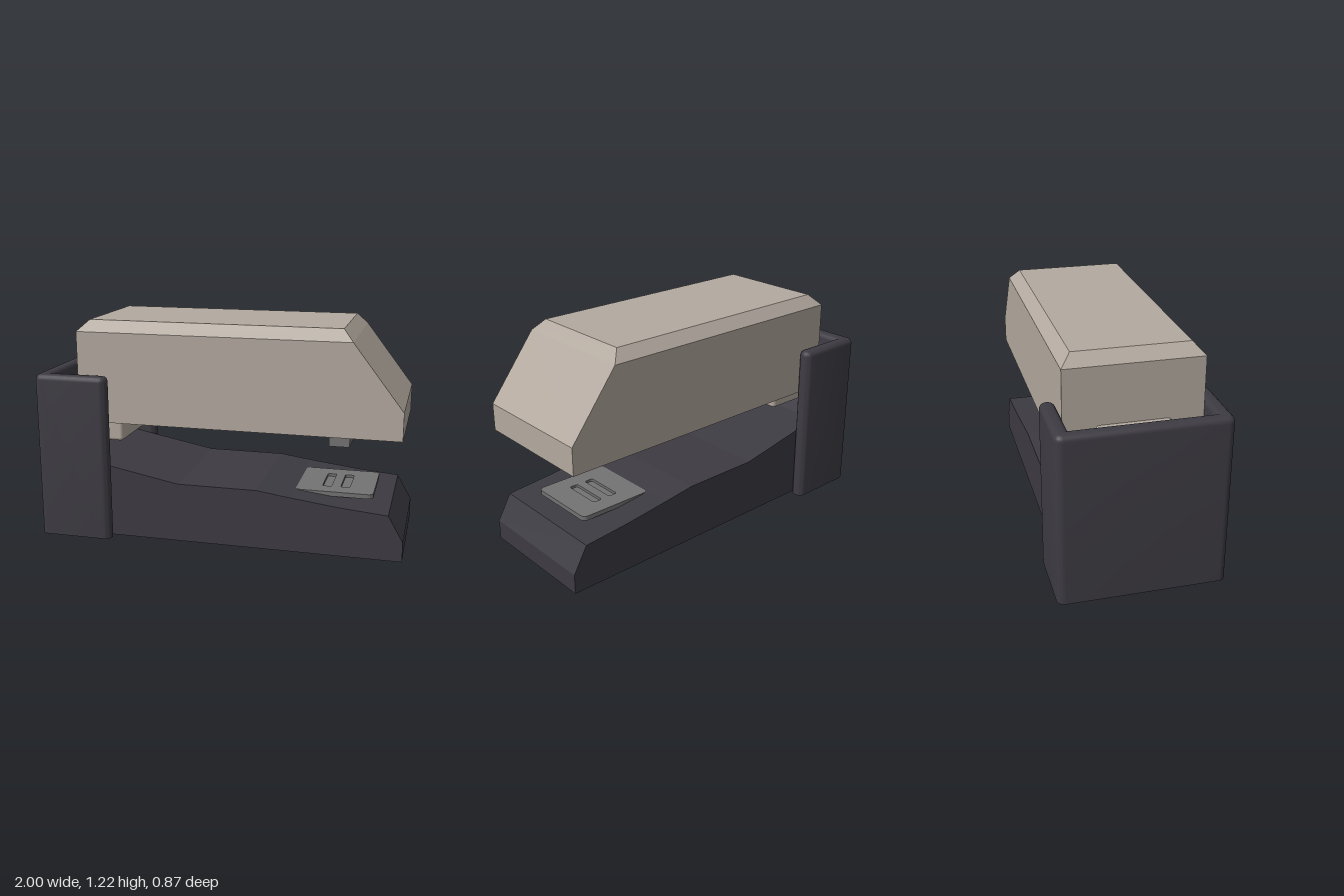
import * as THREE from 'three';
import { toCreasedNormals } from 'three/addons/utils/BufferGeometryUtils.js';
import { RoundedBoxGeometry } from 'three/addons/geometries/RoundedBoxGeometry.js';
import { ConvexGeometry } from 'three/addons/geometries/ConvexGeometry.js';

// Rectangle with rounded corners, traced onto a Shape or Path
function roundedRect(path, cx, cy, w, h, r) {
  const x = w / 2 - r, y = h / 2 - r;
  path.absarc(cx + x, cy + y, r, 0, Math.PI / 2);
  path.absarc(cx - x, cy + y, r, Math.PI / 2, Math.PI);
  path.absarc(cx - x, cy - y, r, Math.PI, Math.PI * 1.5);
  path.absarc(cx + x, cy - y, r, Math.PI * 1.5, Math.PI * 2);
  path.closePath();
  return path;
}

export function createModel() {
  const model = new THREE.Group();
  model.name = 'stapler';
  const mat = (name, color) => new THREE.MeshStandardMaterial({ name, color });
  const charcoal = mat('charcoal', 0x3d3b42);
  const beige = mat('beige', 0xb3a99f);
  const steel = mat('steel', 0x737373);

  const add = (name, geometry, material, x = 0, y = 0, z = 0) => {
    const mesh = new THREE.Mesh(geometry, material);
    mesh.name = name;
    mesh.position.set(x, y, z);
    model.add(mesh);
    return mesh;
  };

  // Base: side profile extruded across the width
  const profile = [
    [-0.93, 0.012], [1, 0.012], [1, 0.12], [0.92, 0.26], [0.67, 0.282],
    [0.4, 0.315], [0.22, 0.34], [-0.22, 0.34], [-0.77, 0.445], [-0.93, 0.525],
  ].map(([x, y]) => new THREE.Vector2(x, y));
  const base = new THREE.ExtrudeGeometry(new THREE.Shape(profile), { depth: 0.71, bevelEnabled: false });
  add('base', base, charcoal, 0, 0, -0.355);

  // Foot pads
  for (const x of [-0.775, 0.58]) add('footPad', new THREE.BoxGeometry(0.21, 0.014, 0.52), charcoal, x, 0.007, 0);

  // Rear housing: U-shaped plan, extruded upward with rounded rims
  const r = 0.01, end = -0.63, H = Math.PI / 2;
  const u = new THREE.Shape();
  u.absarc(-0.96, -0.395, r, Math.PI, Math.PI * 1.5);
  u.absarc(end, -0.395, r, -H, H);
  u.lineTo(-0.95, -0.385);
  u.lineTo(-0.95, 0.385);
  u.absarc(end, 0.395, r, -H, H);
  u.absarc(-0.96, 0.395, r, H, Math.PI);
  u.closePath();
  let housing = new THREE.ExtrudeGeometry(u, {
    depth: 0.883, bevelEnabled: true, bevelSize: 0.03, bevelThickness: 0.03, bevelSegments: 5, curveSegments: 6,
  });
  housing.rotateX(-Math.PI / 2);
  // Flatten the lower rim so the housing ends in a flat underside
  const p = housing.attributes.position;
  for (let i = 0; i < p.count; i++) p.setY(i, Math.max(p.getY(i), 0));
  housing = toCreasedNormals(housing, 0.6);
  add('rearHousing', housing, charcoal, 0, 0.012, 0);

  // Head: faceted block with sloped nose and chamfered top
  const corners = [];
  for (const s of [-1, 1]) {
    for (const [x, y, z] of [
      [-0.775, 0.66, 0.355], [0.975, 0.66, 0.355], [0.975, 0.81, 0.355],
      [0.71, 1.155, 0.355], [-0.775, 1.155, 0.355], [-0.715, 1.215, 0.3], [0.655, 1.215, 0.3],
    ]) corners.push(new THREE.Vector3(x, y, z * s));
  }
  add('head', new ConvexGeometry(corners), beige);

  // Hinge block joining the head to the housing
  add('hingeBlock', new RoundedBoxGeometry(0.335, 0.34, 0.38, 3, 0.02), beige, -0.758, 0.68, 0);

  // Staple rail: rounded lower edges, runs along x
  const rail = new THREE.ExtrudeGeometry(
    roundedRect(new THREE.Shape(), 0, 0.645, 0.19, 0.08, 0.03),
    { depth: 1.04, bevelEnabled: false, curveSegments: 6 });
  rail.rotateY(Math.PI / 2);
  add('stapleRail', toCreasedNormals(rail, 0.6), steel, -0.28, 0, 0);

  // Clip straddling the rail
  add('railClip', new THREE.BoxGeometry(0.11, 0.1, 0.38), steel, 0.635, 0.615, 0);

  // Anvil plate with two recessed slots
  const plate = roundedRect(new THREE.Shape(), 0.615, 0, 0.42, 0.41, 0.03);
  for (const x of [0.565, 0.665]) plate.holes.push(roundedRect(new THREE.Path(), x, 0, 0.05, 0.22, 0.012));
  const anvil = new THREE.ExtrudeGeometry(plate, { depth: 0.025, bevelEnabled: false, curveSegments: 5 });
  anvil.rotateX(-Math.PI / 2);
  add('anvilPlate', toCreasedNormals(anvil, 0.6), steel, 0, 0.29, 0);
  add('anvilSlotFloor', new THREE.BoxGeometry(0.2, 0.008, 0.26), steel, 0.615, 0.296, 0);

  return model;
}
